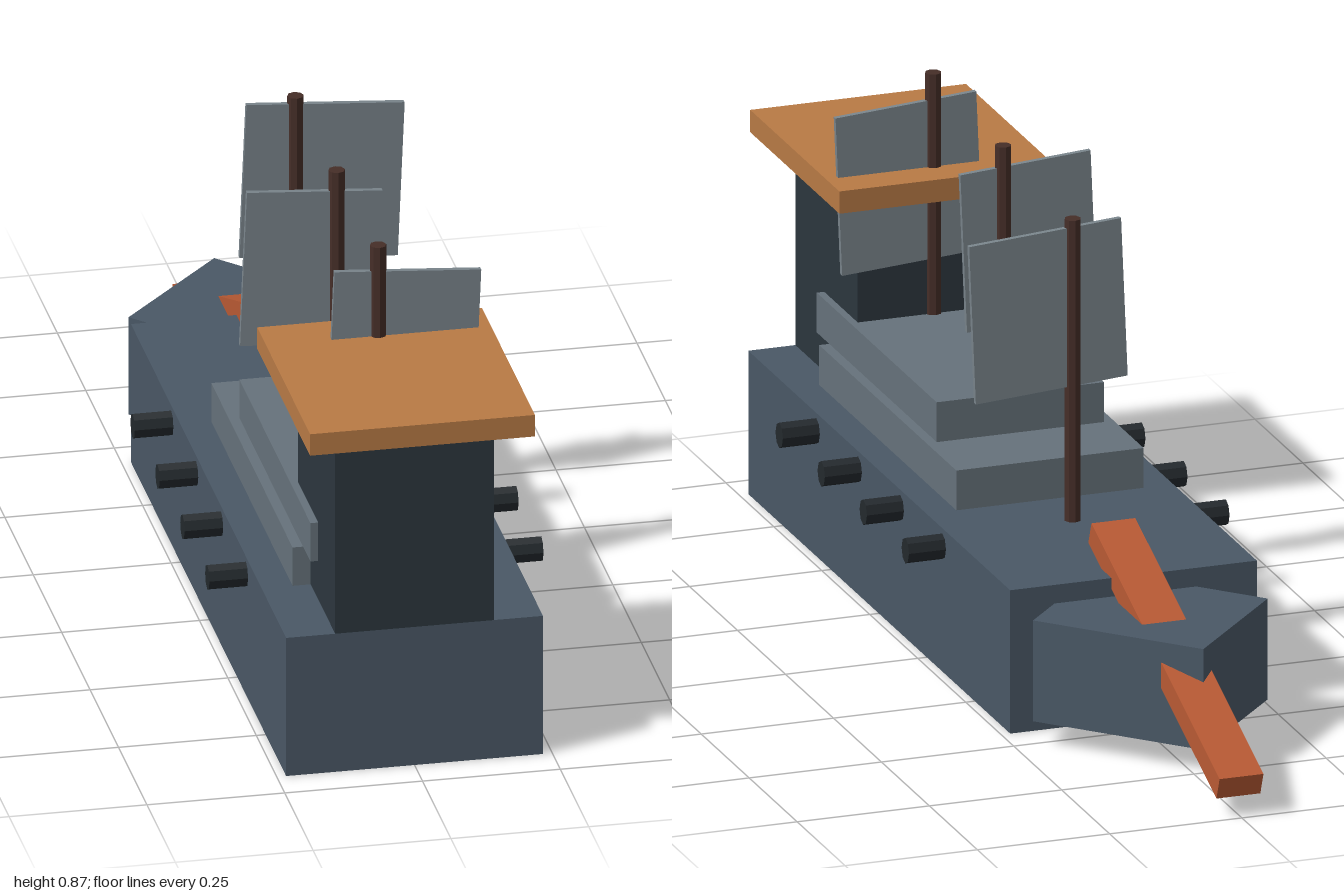
import * as THREE from 'three';

const paint = (color) => new THREE.MeshStandardMaterial({ color, flatShading: true });

export function createModel() {
  const ship = new THREE.Group();
  ship.name = 'ship';

  const slate = paint(0x4a5866);
  const deckGrey = paint(0x66727b);
  const charcoal = paint(0x2c363e);
  const iron = paint(0x23292d);
  const roofWood = paint(0xb87a45);
  const redWood = paint(0xb95a34);
  const mastWood = paint(0x462e28);
  const sailGrey = paint(0x7a858c);

  const add = (name, geometry, material, x = 0, y = 0, z = 0) => {
    const mesh = new THREE.Mesh(geometry, material);
    mesh.name = name;
    mesh.position.set(x, y, z);
    ship.add(mesh);
    return mesh;
  };

  // Box given by its width and its y and z ranges
  const block = (name, width, y0, y1, z0, z1, material) =>
    add(name, new THREE.BoxGeometry(width, y1 - y0, z1 - z0), material, 0, (y0 + y1) / 2, (z0 + z1) / 2);

  // Hull, stepped decks, cabin and its overhanging roof
  block('hull', 0.466, 0, 0.27, -0.435, 0.93, slate);
  block('lowerDeck', 0.354, 0.27, 0.345, 0, 0.715, deckGrey);
  block('upperDeck', 0.316, 0.345, 0.42, 0.155, 0.78, deckGrey);
  block('cabin', 0.288, 0.27, 0.655, 0.605, 0.93, charcoal);
  block('cabinRoof', 0.408, 0.655, 0.697, 0.535, 1.0, roofWood);

  // Bow: a slightly skewed diamond prism
  const diamond = new THREE.Shape([
    [-0.016, 0.755], [-0.216, 0.539], [0.016, 0.291], [0.216, 0.507],
  ].map(([x, y]) => new THREE.Vector2(x, y)));
  const bowGeometry = new THREE.ExtrudeGeometry(diamond, { depth: 0.19, bevelEnabled: false });
  bowGeometry.rotateX(-Math.PI / 2);
  add('bow', bowGeometry, slate, 0, 0.045, 0);

  // Bowsprit slanting down through the bow
  const bowsprit = add('bowsprit', new THREE.BoxGeometry(0.083, 0.045, 0.717), redWood, 0, 0.187, -0.656);
  bowsprit.rotation.x = -0.373;

  // Masts with off-centre, leaning sails: z, mast top, sail centre x, sail width
  const masts = [
    [-0.118, 0.838, 0.0475, 0.287],
    [0.245, 0.856, -0.047, 0.246],
    [0.609, 0.873, 0.047, 0.266],
  ];
  const lean = new THREE.Matrix4().set(
    1, 0.042, 0, 0,
    -0.072, 1, 0, 0,
    0, 0, 1, 0,
    0, 0, 0, 1,
  );
  for (const [z, top, sailX, sailWidth] of masts) {
    const height = top - 0.26;
    add('mast', new THREE.CylinderGeometry(0.015, 0.015, height, 8), mastWood, 0, top - height / 2, z);
    const sail = new THREE.BoxGeometry(sailWidth, 0.298, 0.01).applyMatrix4(lean);
    add('sail', sail, sailGrey, sailX, 0.67, z);
  }

  // Four cannons on each side, slightly oval
  const cannonGeometry = new THREE.CylinderGeometry(0.024, 0.024, 0.14, 8);
  cannonGeometry.rotateZ(Math.PI / 2).scale(1, 1, 0.8);
  for (const side of [-1, 1]) {
    for (let i = 0; i < 4; i++) {
      add(side > 0 ? 'leftCannon' : 'rightCannon', cannonGeometry, iron, side * 0.233, 0.236, -0.081 + i * 0.219);
    }
  }

  return ship;
}
